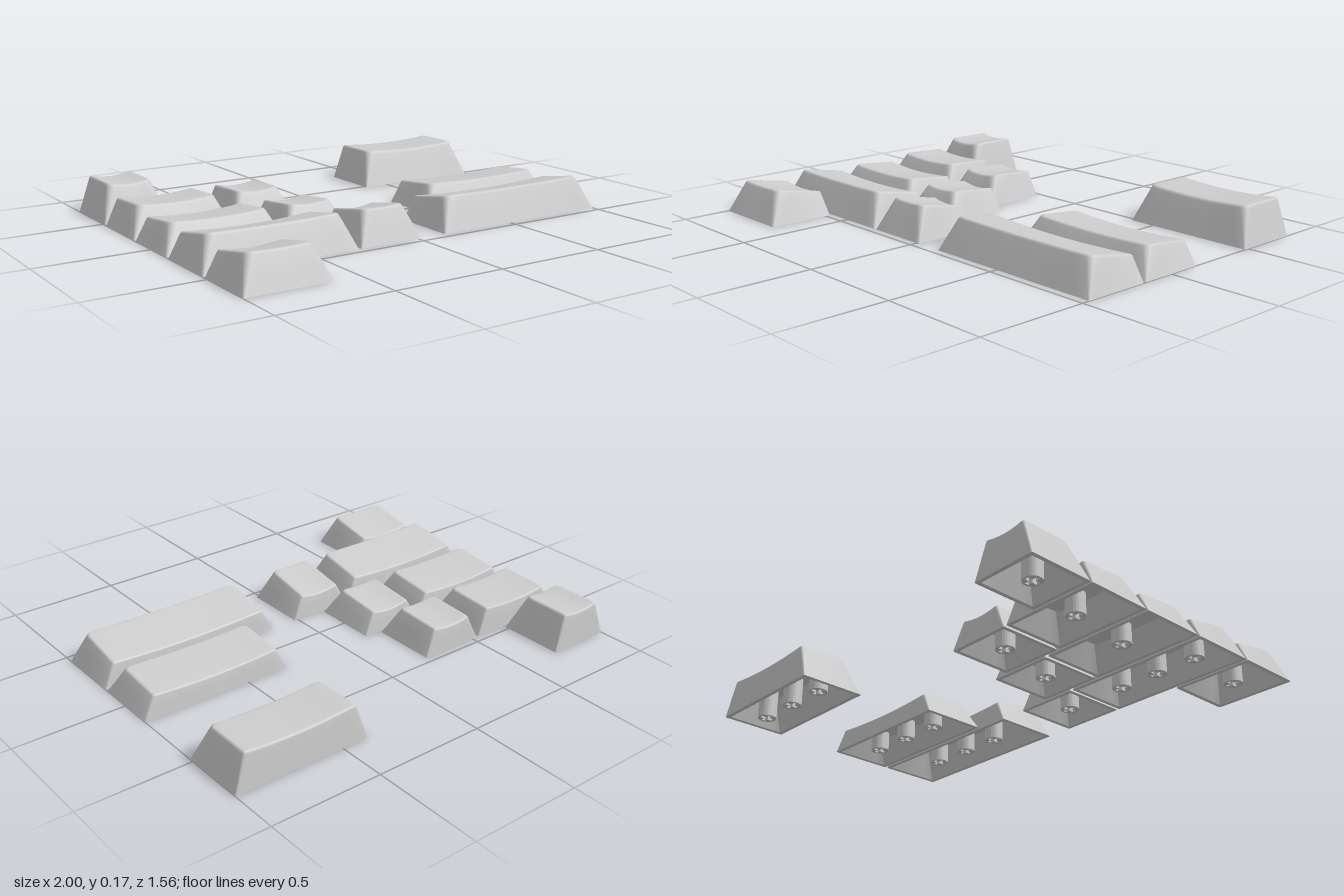
import * as THREE from 'three';
import { toCreasedNormals } from 'three/addons/utils/BufferGeometryUtils.js';

const lerp = THREE.MathUtils.lerp;
const mix = (a, b, t) => a.map((v, i) => lerp(v, b[i], t));

// Rows from back to front: base depth range, top edge heights, dish depths
const ROWS = [
  { z0: -0.782, z1: -0.478, yBack: 0.166, yFront: 0.168, dishBack: 0.014, dishFront: 0.012,
    keys: [[-1, -0.698], [0.376, 1]] },
  { z0: -0.469, z1: -0.166, yBack: 0.123, yFront: 0.135, dishBack: 0.014, dishFront: 0.011,
    keys: [[-1, -0.538], [-0.525, -0.223]] },
  { z0: -0.156, z1: 0.148, yBack: 0.102, yFront: 0.126, dishBack: 0.014, dishFront: 0.009,
    keys: [[-1, -0.458], [-0.445, -0.143], [0.295, 1]] },
  { z0: 0.16, z1: 0.465, yBack: 0.106, yFront: 0.149, dishBack: 0.014, dishFront: 0.005,
    keys: [[-1, -0.297], [-0.286, 0.016], [0.139, 1]] },
  { z0: 0.475, z1: 0.78, yBack: 0.106, yFront: 0.149, dishBack: 0.014, dishFront: 0.005,
    keys: [[-1, -0.619]] },
];

// Rounded rectangle outline; rect = [x0, x1, z0, z1, back radius, front radius]
function outline([x0, x1, z0, z1, rBack, rFront]) {
  const corners = [];
  for (let q = 0; q < 4; q++) {
    const r = q < 2 ? rBack : rFront;
    const cx = q === 0 || q === 3 ? x1 - r : x0 + r;
    const cz = q < 2 ? z0 + r : z1 - r;
    const arc = [];
    for (let i = 0; i <= 4; i++) {
      const a = (q + i / 4) * Math.PI / 2;
      arc.push([cx + r * Math.cos(a), cz - r * Math.sin(a)]);
    }
    corners.push(arc);
  }
  const points = [];
  corners.forEach((arc, q) => {
    points.push(...arc);
    const next = corners[(q + 1) % 4][0];
    const n = q % 2 ? 5 : 14;
    for (let i = 1; i < n; i++) points.push(mix(arc[4], next, i / n));
  });
  return points;
}

// Hollow cap: one continuous skin from the inner ceiling, round the rim, to the dished top
function capGeometry(width, depth, row) {
  const w = width / 2, d = depth / 2;
  const base = [-w, w, -d, d, 0.005, 0.008];
  const top = [-w + 0.052, w - 0.052, -d + 0.009, d - 0.064, 0.012, 0.03];
  const inset = ([a, b, c, e, r, s], t) => [a + t, b - t, c + t, e - t, Math.max(r - t, 0.003), Math.max(s - t, 0.003)];
  const topY = (x, z) => {
    const t = THREE.MathUtils.clamp((z - top[2]) / (top[3] - top[2]), 0, 1);
    const u = Math.min(Math.abs(x) / top[1], 1);
    return lerp(row.yBack, row.yFront, t) - lerp(row.dishBack, row.dishFront, t) * (1 - u * u);
  };
  const shrink = (rect, t) => {
    const zc = (rect[2] + rect[3]) / 2;
    return mix([0, 0, zc, zc, 0, 0], rect, t);
  };

  const rings = []; // [rect, fraction of the top height]
  const ceiling = inset(top, 0.014);
  for (const t of [0, 0.5, 1]) rings.push([shrink(ceiling, t), 0.86]);
  rings.push([inset(base, 0.018), 0], [base, 0]);
  const wall = mix(base, top, 0.92), lip = inset(top, 0.01);
  rings.push([mix(base, top, 0.5), 0.5]);
  for (let i = 0; i <= 5; i++) {
    const t = i / 5;
    rings.push([mix(mix(wall, top, t), mix(top, lip, t), t), lerp(lerp(0.92, 1, t), 1, t)]);
  }
  for (const t of [0.8, 0.6, 0.4, 0.2, 0]) rings.push([shrink(lip, t), 1]);

  const pos = [], index = [];
  let n = 0;
  rings.forEach(([rect, k], j) => {
    const pts = outline(rect);
    n = pts.length;
    for (const [x, z] of pts) pos.push(x, k * topY(x, z), z);
    if (j === 0) return;
    for (let i = 0; i < n; i++) {
      const a = (j - 1) * n + i, b = (j - 1) * n + (i + 1) % n;
      index.push(a, b, b + n, a, b + n, a + n);
    }
  });
  const geo = new THREE.BufferGeometry();
  geo.setAttribute('position', new THREE.Float32BufferAttribute(pos, 3));
  geo.setIndex(index);
  // Enlarge while creasing so small fillet vertices stay distinct
  geo.scale(100, 100, 100);
  const creased = toCreasedNormals(geo, 0.55);
  creased.scale(0.01, 0.01, 0.01);
  return { geo: creased, stemTop: topY(0, -0.045) - 0.008 };
}

// Round post with a cross-shaped socket
function stemGeometry(height) {
  const shape = new THREE.Shape().absarc(0, 0, 0.042, 0, Math.PI * 2, false);
  const a = 0.031, b = 0.009;
  const cross = [[a, b], [b, b], [b, a], [-b, a], [-b, b], [-a, b], [-a, -b], [-b, -b], [-b, -a], [b, -a], [b, -b], [a, -b]];
  shape.holes.push(new THREE.Path(cross.map(([x, y]) => new THREE.Vector2(x, y))));
  const geo = new THREE.ExtrudeGeometry(shape, { depth: height, bevelEnabled: false, curveSegments: 12 });
  geo.rotateX(-Math.PI / 2);
  return geo;
}

export function createModel() {
  const model = new THREE.Group();
  model.name = 'keycapSet';
  const plastic = new THREE.MeshStandardMaterial({ color: 0xcccccc });
  plastic.name = 'light grey plastic';

  for (const row of ROWS) {
    for (const [x0, x1] of row.keys) {
      const width = x1 - x0;
      const key = new THREE.Group();
      key.name = 'keycap';
      key.position.set((x0 + x1) / 2, 0, (row.z0 + row.z1) / 2);

      const { geo, stemTop } = capGeometry(width, row.z1 - row.z0, row);
      const shell = new THREE.Mesh(geo, plastic);
      shell.name = 'shell';
      key.add(shell);

      // Wide keys carry two extra stabiliser stems
      const stem = stemGeometry(stemTop - 0.004);
      for (const x of width > 0.6 ? [-0.2, 0, 0.2] : [0]) {
        const post = new THREE.Mesh(stem, plastic);
        post.name = 'stem';
        post.position.set(x, 0.004, 0);
        key.add(post);
      }
      model.add(key);
    }
  }
  return model;
}
